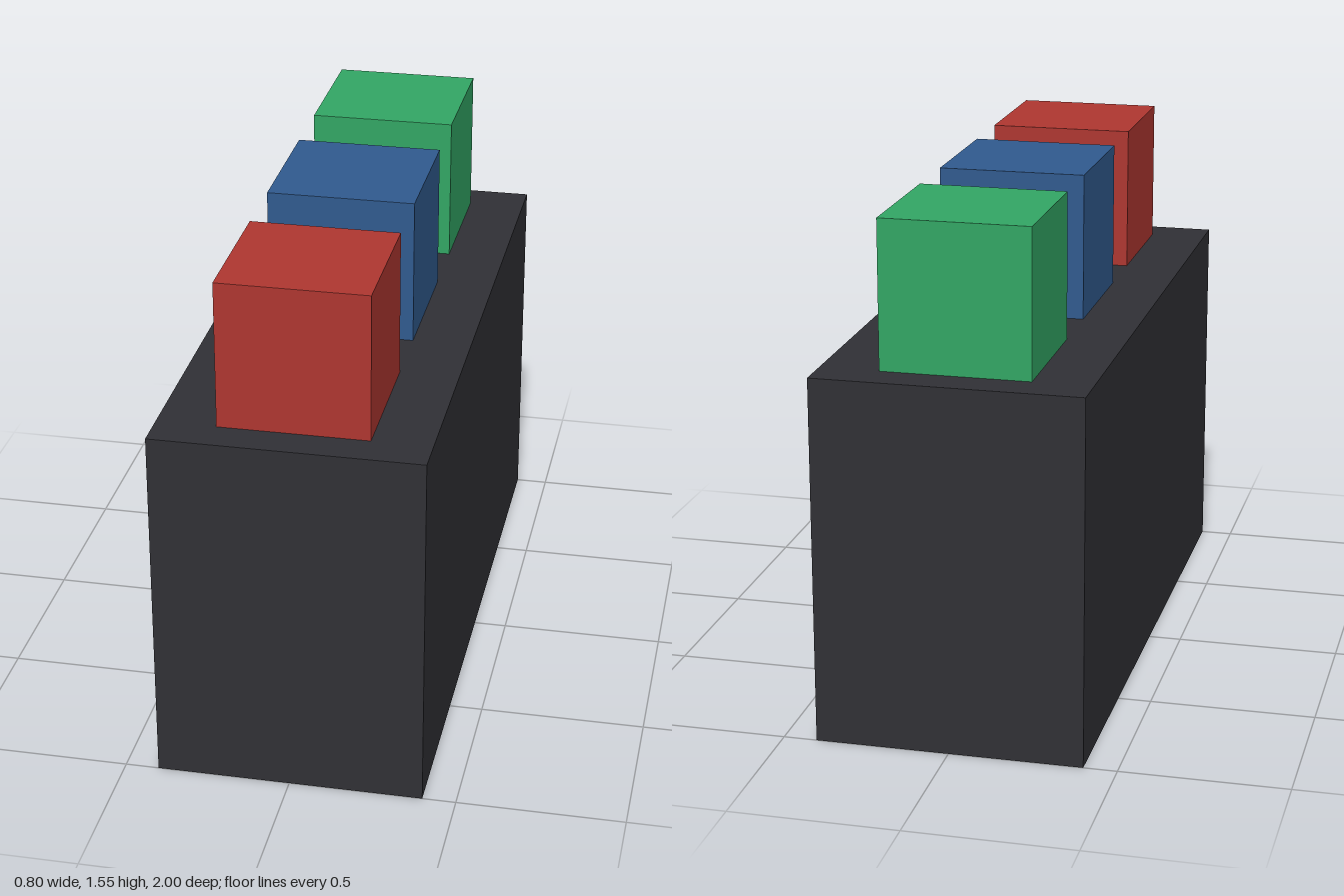
import * as THREE from 'three';

const BODY = { width: 0.8, height: 1.11, depth: 2 };
const CUBE = 0.445;
const SPACING = 0.667;

function box(name, w, h, d, color) {
  const mesh = new THREE.Mesh(
    new THREE.BoxGeometry(w, h, d),
    new THREE.MeshStandardMaterial({ color })
  );
  mesh.name = name;
  return mesh;
}

export function createModel() {
  const model = new THREE.Group();
  model.name = 'blockWithCubes';

  // Tall dark base block
  const base = box('base', BODY.width, BODY.height, BODY.depth, 0x303035);
  base.position.y = BODY.height / 2;
  model.add(base);

  // Row of coloured cubes on top, front to back
  const cubes = [
    ['redCube', 0xae3630],
    ['blueCube', 0x305a8e],
    ['greenCube', 0x32a664],
  ];
  cubes.forEach(([name, color], i) => {
    const cube = box(name, CUBE, CUBE, CUBE, color);
    cube.position.set(0, BODY.height + CUBE / 2, (1 - i) * SPACING);
    model.add(cube);
  });

  return model;
}
